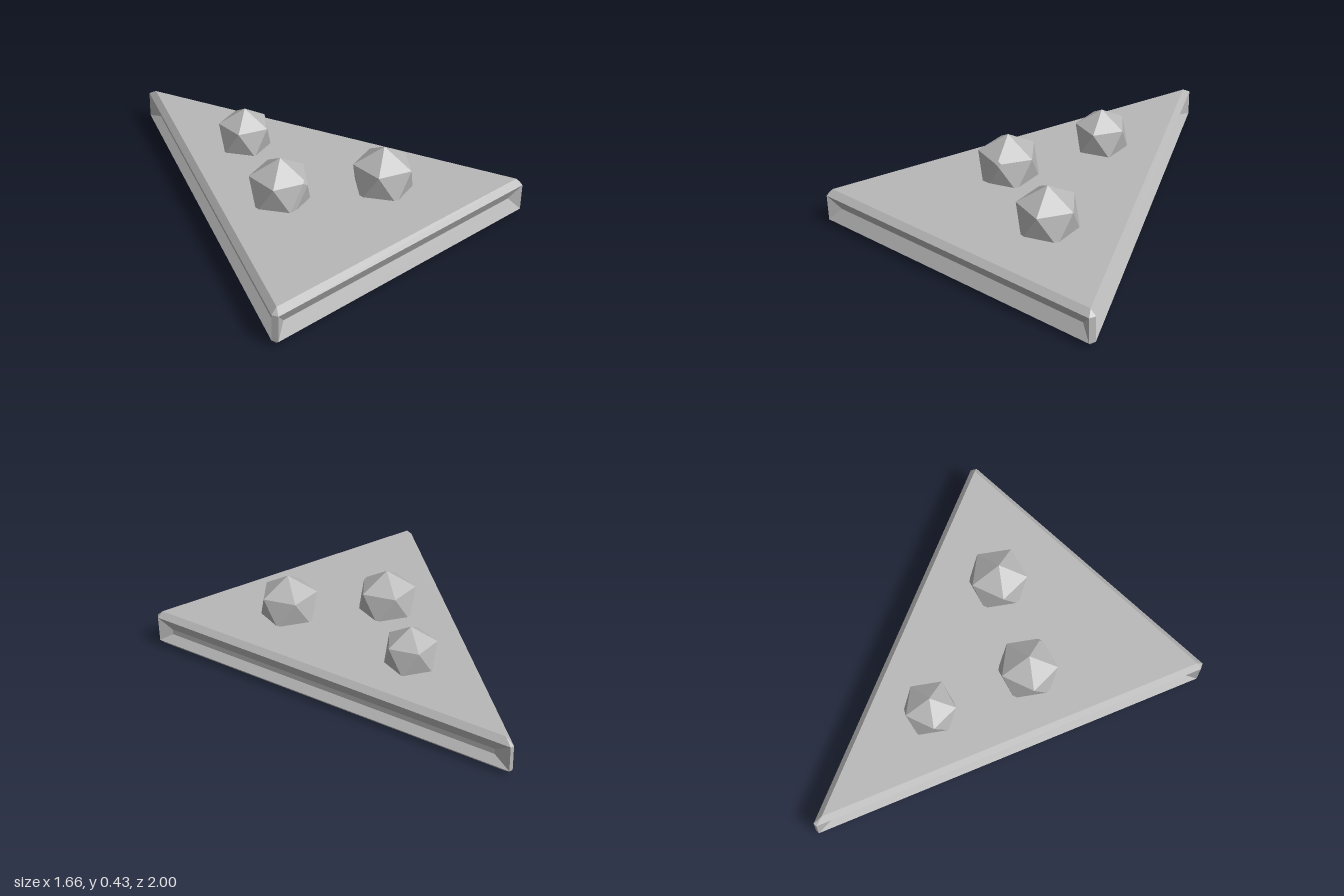
import * as THREE from 'three';
import { ConvexGeometry } from 'three/addons/geometries/ConvexGeometry.js';

const stone = new THREE.MeshStandardMaterial({ color: 0xb8b8b8 });
stone.name = 'stone grey';

// Flat-shaded geometry from polygons whose corners run anticlockwise from outside
function fromPolygons(polygons) {
  const points = [];
  for (const p of polygons)
    for (let i = 1; i < p.length - 1; i++) points.push(p[0], p[i], p[i + 1]);
  const g = new THREE.BufferGeometry().setFromPoints(points);
  g.computeVertexNormals();
  return g;
}

// Triangular slab: chamfered rims, blunt corners and a groove along each side
function slabGeometry() {
  const ring = [[-0.815, 1], [0.815, 1], [0.83, 0.97], [0.01, -1], [-0.01, -1], [-0.83, 0.97]];
  const face = [[-0.8, 0.97], [0.8, 0.97], [0, -0.95]];
  const at = ([x, z], y) => new THREE.Vector3(x, y, z);
  const yLow = 0.03, yHigh = 0.17, height = 0.2, depth = 0.035;
  // inset of the groove floor at both ends, and its lower and upper height
  const grooves = [[0.06, 0.06, 0.099, 0.101], [0.065, 0.1, 0.07, 0.1], [0.1, 0.065, 0.07, 0.1]];
  const polys = [
    face.map((p) => at(p, height)),
    face.map((p) => at(p, 0)).reverse(),
  ];
  for (let k = 0; k < 3; k++) {
    const a = ring[2 * k], b = ring[2 * k + 1], c = ring[(2 * k + 2) % 6];
    const f = face[k], g = face[(k + 1) % 3];
    // chamfers along the side and at the corner
    polys.push([at(a, yHigh), at(b, yHigh), at(g, height), at(f, height)]);
    polys.push([at(f, 0), at(g, 0), at(b, yLow), at(a, yLow)]);
    polys.push([at(b, yHigh), at(c, yHigh), at(g, height)]);
    polys.push([at(g, 0), at(c, yLow), at(b, yLow)]);
    // blunt corner
    polys.push([at(b, yLow), at(c, yLow), at(c, yHigh), at(b, yHigh)]);
    // groove: four sloping walls around a narrow floor
    const [insetA, insetB, low, high] = grooves[k];
    const dir = new THREE.Vector3(b[0] - a[0], 0, b[1] - a[1]).normalize();
    const inward = new THREE.Vector3(dir.z, 0, -dir.x);
    const floorAt = (p, along, y) => at(p, y).addScaledVector(dir, along).addScaledVector(inward, depth);
    const outer = [at(a, yLow), at(b, yLow), at(b, yHigh), at(a, yHigh)];
    const inner = [floorAt(a, insetA, low), floorAt(b, -insetB, low),
      floorAt(b, -insetB, high), floorAt(a, insetA, high)];
    polys.push(inner);
    for (let i = 0; i < 4; i++) {
      const j = (i + 1) % 4;
      polys.push([outer[i], outer[j], inner[j], inner[i]]);
    }
  }
  return fromPolygons(polys);
}

// Icosahedron standing on a point; optionally with one edge worn off
function lumpGeometry(radius, worn) {
  const r = radius * 0.8944, h = radius * 0.4472;
  const corners = [new THREE.Vector3(0, radius, 0), new THREE.Vector3(0, -radius, 0)];
  for (let i = 0; i < 5; i++) {
    const t = (i * Math.PI * 2) / 5, u = t + Math.PI / 5;
    corners.push(new THREE.Vector3(r * Math.cos(t), h, r * Math.sin(t)));
    corners.push(new THREE.Vector3(r * Math.cos(u), -h, r * Math.sin(u)));
  }
  if (!worn) return new ConvexGeometry(corners);
  const edge = [corners[4], corners[5]];
  const points = [];
  for (const v of corners) {
    if (!edge.includes(v)) { points.push(v); continue; }
    for (const n of corners)
      if (!edge.includes(n) && v.distanceTo(n) < radius * 1.2) points.push(v.clone().lerp(n, 0.12));
  }
  return new ConvexGeometry(points);
}

export function createModel() {
  const model = new THREE.Group();
  model.name = 'wedgeWithLumps';

  const slab = new THREE.Mesh(slabGeometry(), stone);
  slab.name = 'slab';
  model.add(slab);

  // three lumps half sunk into the top
  const lumps = [
    ['backLump', 0.15, 0, 0.26, -0.185, false],
    ['middleLump', 0.17, -0.205, 0.255, 0.32, true],
    ['frontLump', 0.17, 0.25, 0.255, 0.575, false],
  ];
  for (const [name, radius, x, y, z, worn] of lumps) {
    const lump = new THREE.Mesh(lumpGeometry(radius, worn), stone);
    lump.name = name;
    lump.position.set(x, y, z);
    model.add(lump);
  }
  return model;
}
